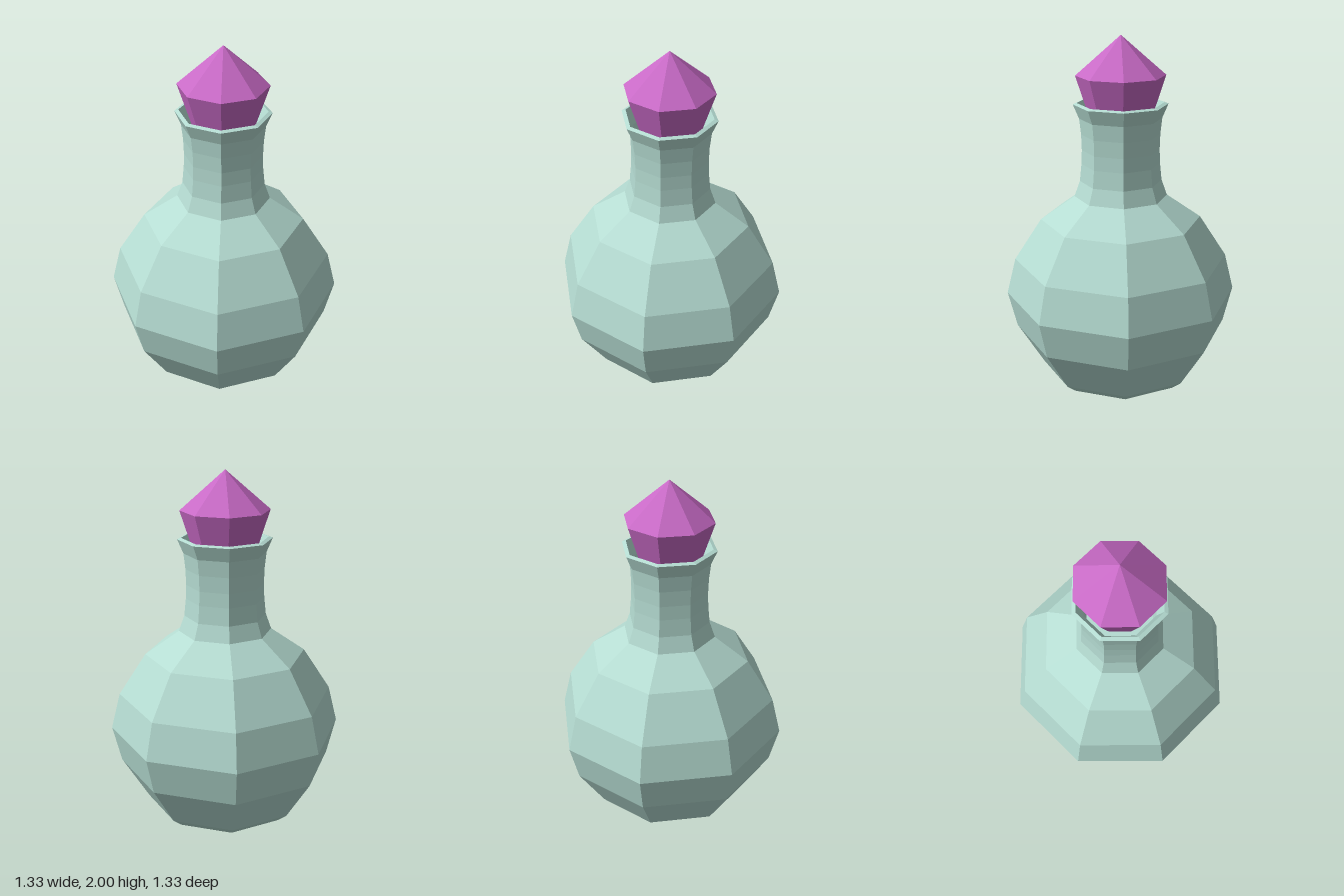
import * as THREE from 'three';

const SIDES = 8;

// Eight-sided faceted solid turned from [radius, height] pairs
function turned(name, profile, color) {
  const points = profile.map(([r, y]) => new THREE.Vector2(r, y));
  const material = new THREE.MeshStandardMaterial({ color, flatShading: true, side: THREE.DoubleSide });
  const mesh = new THREE.Mesh(new THREE.LatheGeometry(points, SIDES), material);
  mesh.name = name;
  return mesh;
}

export function createModel() {
  const model = new THREE.Group();
  model.name = 'stopperedFlask';

  model.add(turned('flask', [
    // base and round belly
    [0, 0], [0.4, 0], [0.46, 0.05], [0.615, 0.295], [0.667, 0.505],
    [0.615, 0.715], [0.46, 0.955], [0.265, 1.09],
    // waisted neck
    [0.233, 1.18], [0.223, 1.28], [0.22, 1.36], [0.223, 1.45], [0.233, 1.54],
    // flared lip and inner wall of the mouth
    [0.267, 1.62], [0.245, 1.628], [0.205, 1.54], [0.19, 1.45], [0, 1.45],
  ], 0xb5dcd2));

  // Gem stopper: tapered plug with a pointed crown
  model.add(turned('stopper', [
    [0, 1.46], [0.148, 1.46], [0.252, 1.78], [0, 2],
  ], 0xc86ac6));

  return model;
}
